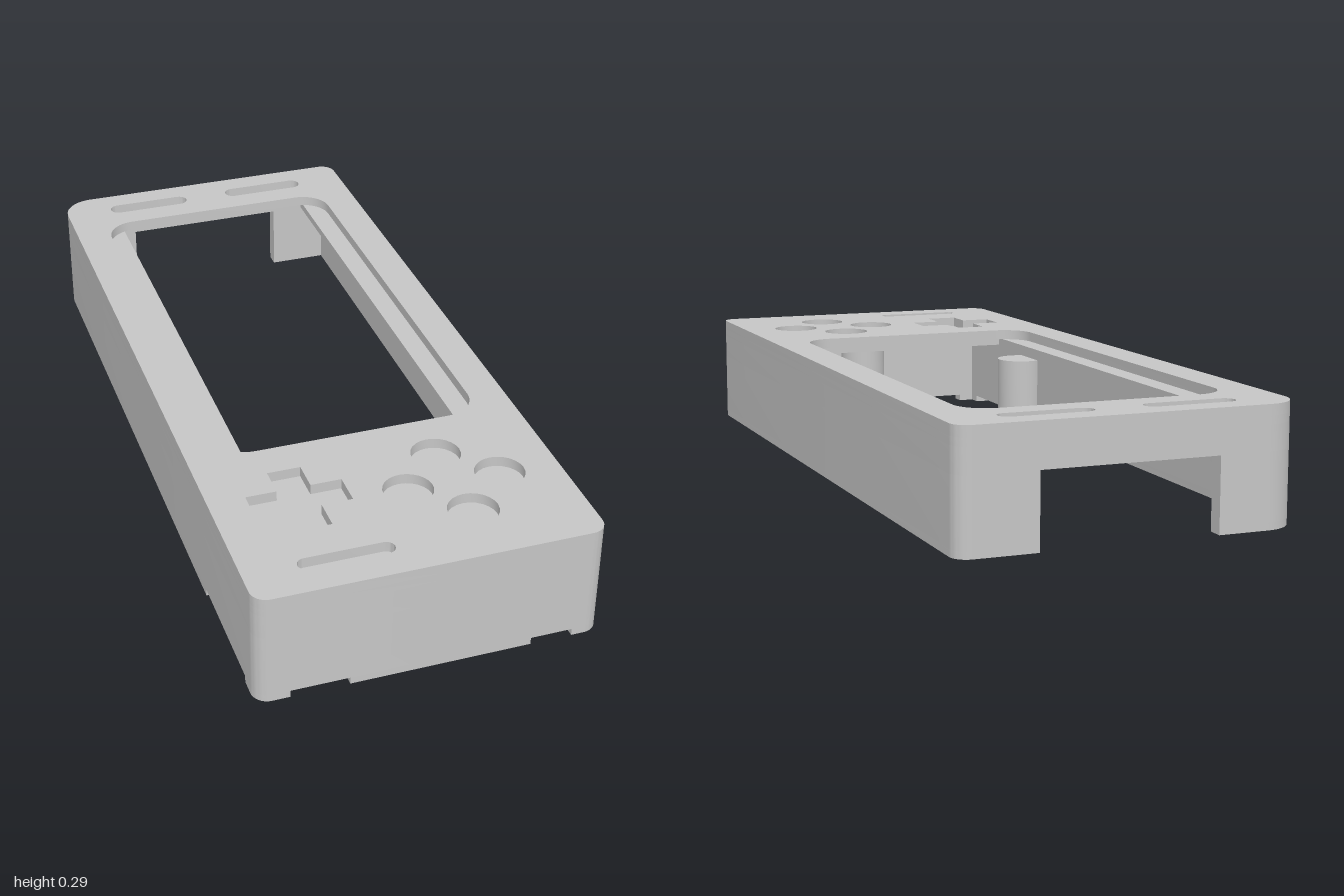
import * as THREE from 'three';
import { toCreasedNormals } from 'three/addons/utils/BufferGeometryUtils.js';

const W = 0.428, L = 1, WALL = 0.04, K = 0.5523;
const R = 0.04, R_BIG = 0.085; // corner radii; the back right corner is larger

// Plan drawings use (x, -z), so an extrusion turned upright keeps x and z.
// Line to the start of a rounded corner at (cx, cz), then round it.
// (ax, az) points back along the incoming edge, (bx, bz) along the outgoing one.
function corner(s, cx, cz, ax, az, bx, bz, r, first = false) {
  s[first ? 'moveTo' : 'lineTo'](cx + ax * r, -(cz + az * r));
  if (r > 0) {
    const k = r * (1 - K);
    s.bezierCurveTo(cx + ax * k, -(cz + az * k), cx + bx * k, -(cz + bz * k), cx + bx * r, -(cz + bz * r));
  }
}

// Counter-clockwise rounded rectangle; radii run back right, front right, front left, back left
function roundRect(x0, x1, z0, z1, radii, Type = THREE.Path) {
  const s = new Type();
  corner(s, x0, z0, 1, 0, 0, 1, radii[0], true);
  corner(s, x0, z1, 0, -1, 1, 0, radii[1]);
  corner(s, x1, z1, -1, 0, 0, -1, radii[2]);
  corner(s, x1, z0, 0, 1, -1, 0, radii[3]);
  s.closePath();
  return s;
}

// L-shaped wall around one corner, reaching to x = xe and z = ze
function wallCorner(sx, sz, xe, ze) {
  const r = sx < 0 && sz < 0 ? R_BIG : R;
  const s = new THREE.Shape();
  s.moveTo(xe, -sz * L);
  corner(s, sx * W, sz * L, -sx, 0, 0, -sz, r);
  s.lineTo(sx * W, -ze);
  s.lineTo(sx * (W - WALL), -ze);
  corner(s, sx * (W - WALL), sz * (L - WALL), 0, -sz, -sx, 0, r - WALL);
  s.lineTo(xe, -sz * (L - WALL));
  s.closePath();
  return s;
}

function slab(shapes, y0, y1) {
  const g = new THREE.ExtrudeGeometry(shapes, { depth: y1 - y0, bevelEnabled: false, curveSegments: 12 });
  g.rotateX(-Math.PI / 2);
  g.translate(0, y0, 0);
  return toCreasedNormals(g, 0.6);
}

function circle(x, z, r) {
  return new THREE.Path().absarc(x, -z, r, 0, Math.PI * 2, true);
}

// Plus-shaped outline
function cross(x, z, arm, half) {
  const p = new THREE.Path();
  const pts = [];
  for (let i = 0; i < 4; i++) {
    const c = Math.round(Math.cos(i * Math.PI / 2)), s = Math.round(Math.sin(i * Math.PI / 2));
    for (const [u, v] of [[half, -half], [arm, -half], [arm, half]]) {
      pts.push(new THREE.Vector2(x + u * c - v * s, -z + u * s + v * c));
    }
  }
  p.setFromPoints(pts);
  p.closePath();
  return p;
}

export function createModel() {
  const model = new THREE.Group();
  model.name = 'handheldCase';
  const grey = new THREE.MeshStandardMaterial({ color: 0xc6c6c6 });
  grey.name = 'plasticGrey';
  const add = (name, geometry) => {
    const mesh = new THREE.Mesh(geometry, grey);
    mesh.name = name;
    model.add(mesh);
    return mesh;
  };
  const outline = () => roundRect(-W, W, -L, L, [R_BIG, R, R, R], THREE.Shape);

  // Face plate with screen window, button, pad and slot recesses
  const face = outline();
  face.holes.push(roundRect(-0.335, 0.335, -0.82, 0.444, [0.08, 0.08, 0.08, 0.08]));
  for (const [x, z] of [[0.16, 0.588], [0.16, 0.828], [0.043, 0.708], [0.278, 0.708]]) {
    face.holes.push(circle(x, z, 0.062));
  }
  face.holes.push(cross(-0.214, 0.662, 0.12, 0.042));
  for (const [x, z] of [[-0.18, -0.912], [0.178, -0.912], [-0.18, 0.904]]) {
    const h = z < 0 ? 0.024 : 0.021;
    face.holes.push(roundRect(x - 0.117, x + 0.117, z - h, z + h, [h, h, h, h]));
  }
  add('facePlate', slab(face, 0.268, 0.295));

  // Backing layer: floors of the recesses and the ledges beside the screen
  const backing = outline();
  backing.holes.push(roundRect(-0.28, 0.28, -0.84, 0.47, [0, 0, 0, 0]));
  add('backingPlate', slab(backing, 0.248, 0.268));

  // Walls: full ring on top, open at the back below, notched at the rim
  const ring = (xBackLeft, xBackRight) => [
    wallCorner(1, 1, 0, 0), wallCorner(-1, 1, 0, 0),
    wallCorner(1, -1, xBackLeft, 0), wallCorner(-1, -1, xBackRight, 0),
  ];
  add('upperWall', slab(ring(0, 0), 0.185, 0.248));
  add('middleWall', slab(ring(0.23, -0.215), 0.018, 0.185));
  add('lowerRim', slab([
    wallCorner(1, 1, 0.355, 0),
    wallCorner(1, -1, 0.23, 0),
    wallCorner(-1, -1, -0.215, 0.59),
    wallCorner(-1, 1, -0.345, 0.92),
    roundRect(-0.2, 0.25, L - WALL, L, [0, 0, 0, 0], THREE.Shape),
  ], 0, 0.018));

  // Hollow screw posts with a wider seat at the mouth
  const profile = [
    [0, 0.12], [0.04, 0.12], [0.04, 0.02], [0.052, 0.02], [0.052, 0],
    [0.067, 0], [0.067, 0.2], [0, 0.2],
  ].map(([r, y]) => new THREE.Vector2(r, y));
  const postGeometry = toCreasedNormals(new THREE.LatheGeometry(profile, 32), 0.6);
  for (const [x, z] of [[-0.357, 0.49], [0.357, 0.49], [0, 0.918]]) {
    add('screwPost', postGeometry).position.set(x, 0, z);
  }

  return model;
}
